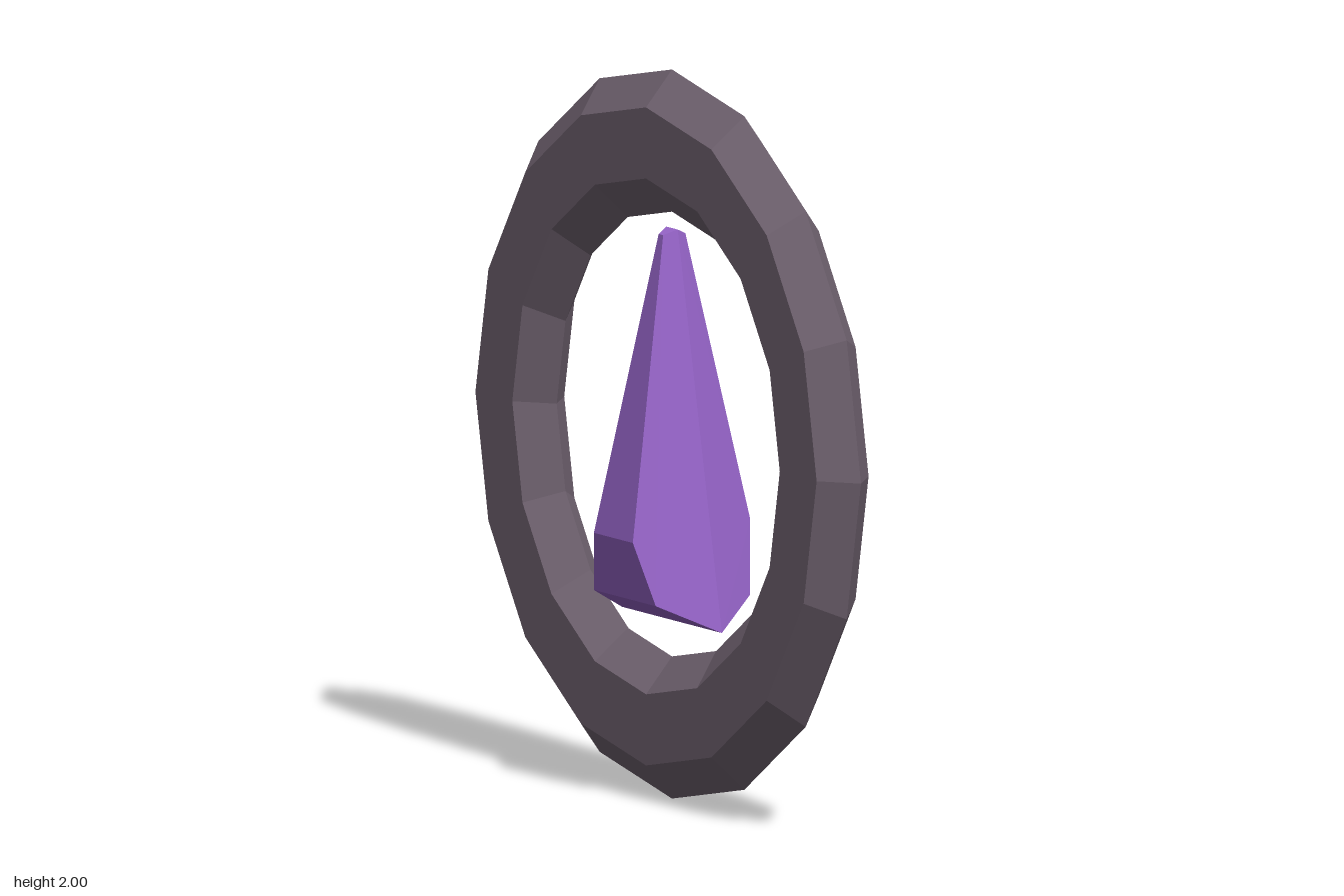
import * as THREE from 'three';
import { ConvexGeometry } from 'three/addons/geometries/ConvexGeometry.js';

export function createModel() {
  const model = new THREE.Group();
  model.name = 'crystalRing';
  const material = (color) => new THREE.MeshStandardMaterial({ color, flatShading: true });

  // Faceted ring: hexagonal section, flattened across its plane
  const ringGeometry = new THREE.TorusGeometry(0.805, 0.195, 6, 16);
  ringGeometry.scale(1, 1, 0.485);
  const ring = new THREE.Mesh(ringGeometry, material(0x746674));
  ring.name = 'ring';
  ring.position.y = 1;

  // Cut crystal: local x runs along the ring plane, z across it
  const points = [];
  for (const s of [-1, 1]) {
    points.push(new THREE.Vector3(s * 0.264, 0.49, 0)); // keel ends
    points.push(new THREE.Vector3(s * 0.03, 1.565, 0)); // tip ridge
    // Each broad side: shoulder height, foot height
    for (const [side, shoulder, foot] of [[1, 0.73, 0.562], [-1, 0.767, 0.57]]) {
      points.push(new THREE.Vector3(s * 0.012, 1.55, side * 0.035));
      points.push(new THREE.Vector3(s * 0.103, shoulder, side * 0.185));
      points.push(new THREE.Vector3(s * 0.164, foot, side * 0.149));
    }
  }
  const crystal = new THREE.Mesh(new ConvexGeometry(points), material(0x9966cc));
  crystal.name = 'crystal';

  // Both parts share the same turn about the vertical axis
  for (const part of [ring, crystal]) {
    part.rotation.y = -Math.PI / 3;
    model.add(part);
  }
  return model;
}
